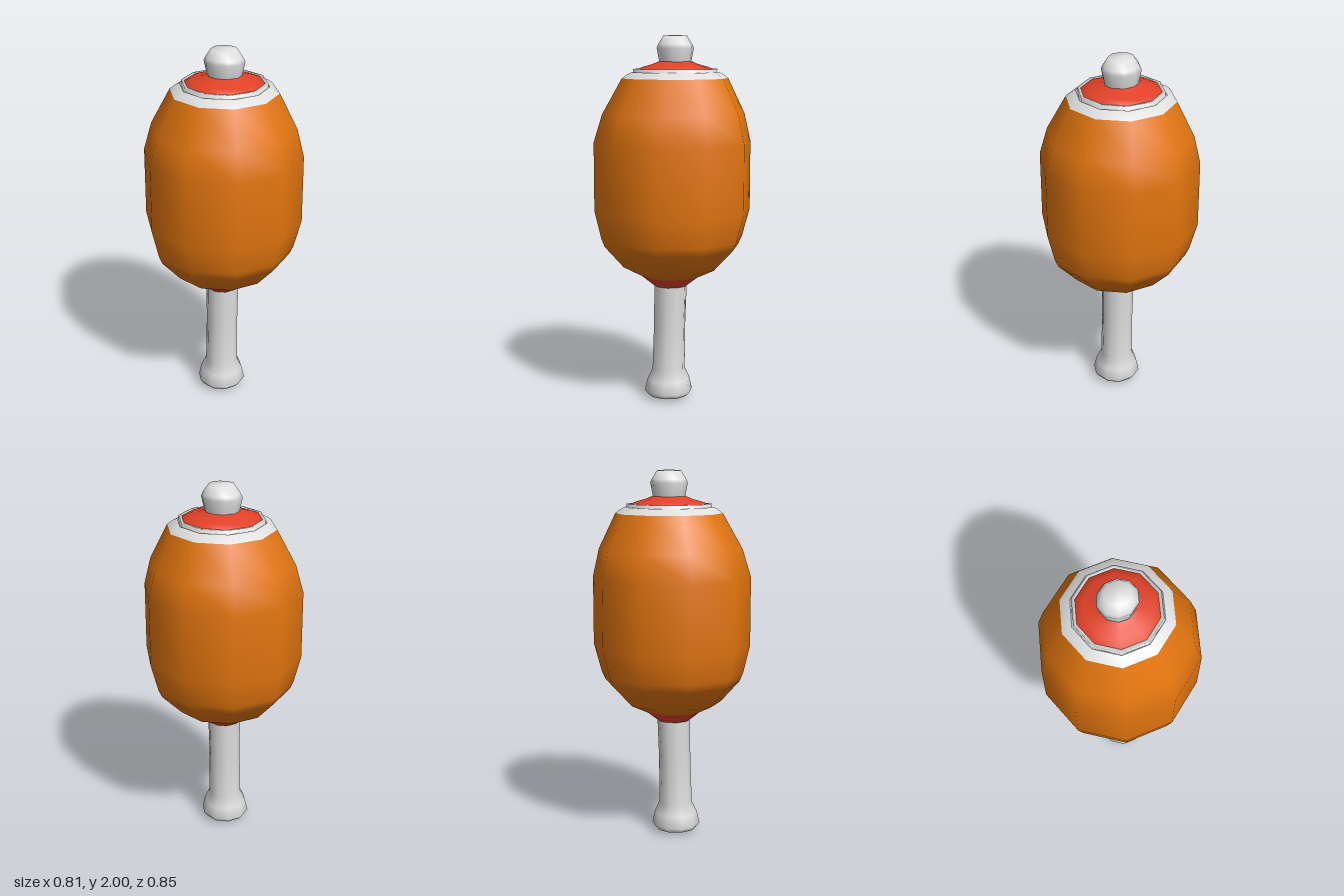
import * as THREE from 'three';

const SIDES = 10;

// Gentle bend of the whole joint: z offset of the axis at given heights
const BEND = [[0, 0.025], [0.16, 0.023], [0.64, 0.012], [1.0, 0], [1.43, 0], [1.77, -0.014], [2, -0.014]];
function bendAt(y) {
  for (let i = 1; i < BEND.length; i++) {
    const [y0, z0] = BEND[i - 1], [y1, z1] = BEND[i];
    if (y <= y1) return z0 + (z1 - z0) * Math.max(0, (y - y0) / (y1 - y0));
  }
  return BEND[BEND.length - 1][1];
}

// Ten-sided turned part from a bottom-to-top profile of [radius, height]
function turned(name, material, profile, depth = 1) {
  const geo = new THREE.LatheGeometry(profile.map(([r, y]) => new THREE.Vector2(r, y)), SIDES);
  const p = geo.attributes.position;
  for (let i = 0; i < p.count; i++) p.setZ(i, p.getZ(i) * depth + bendAt(p.getY(i)));
  const mesh = new THREE.Mesh(geo, material);
  mesh.name = name;
  return mesh;
}

export function createModel() {
  const mat = (name, color, side = THREE.FrontSide) => {
    const m = new THREE.MeshStandardMaterial({ color, side });
    m.name = name;
    return m;
  };
  const skin = mat('roasted skin', 0xe2750f);
  const flesh = mat('red flesh', 0xe24228, THREE.DoubleSide);
  const bone = mat('bone white', 0xdedede);
  const fat = mat('fat white', 0xdedede, THREE.DoubleSide);
  fat.color.copy(bone.color);

  const group = new THREE.Group();
  group.name = 'meatOnBone';
  group.add(
    // Long handle bone with a flared knuckle
    turned('handleBone', bone, [
      [0, 0.003], [0.07, 0.008], [0.112, 0.02], [0.132, 0.045], [0.118, 0.11], [0.09, 0.17], [0.087, 0.42], [0.09, 0.66],
    ]),
    // Exposed flesh where the handle enters
    turned('lowerFlesh', flesh, [[0.09, 0.64], [0.17, 0.702]]),
    // Roasted barrel-shaped body
    turned('meatBody', skin, [
      [0.17, 0.7], [0.262, 0.745], [0.368, 0.86], [0.388, 0.905], [0.427, 1.06], [0.427, 1.43], [0.387, 1.58], [0.288, 1.77],
    ]),
    // Fat ring with a shallow groove around the cut
    turned('fatRing', bone, [[0.288, 1.77], [0.262, 1.79], [0.236, 1.803]]),
    turned('fatGroove', fat, [[0.236, 1.803], [0.226, 1.793], [0.228, 1.82], [0.212, 1.82], [0.206, 1.804]]),
    // Cut face rising to the bone
    turned('upperFlesh', flesh, [[0.2, 1.804], [0.217, 1.815], [0.17, 1.833], [0.125, 1.845], [0.09, 1.86]]),
    // Short rounded bone end
    turned('boneTip', bone, [
      [0.09, 1.84], [0.095, 1.865], [0.109, 1.93], [0.1, 1.95], [0.07, 1.995], [0, 2],
    ], 0.92),
  );
  return group;
}
